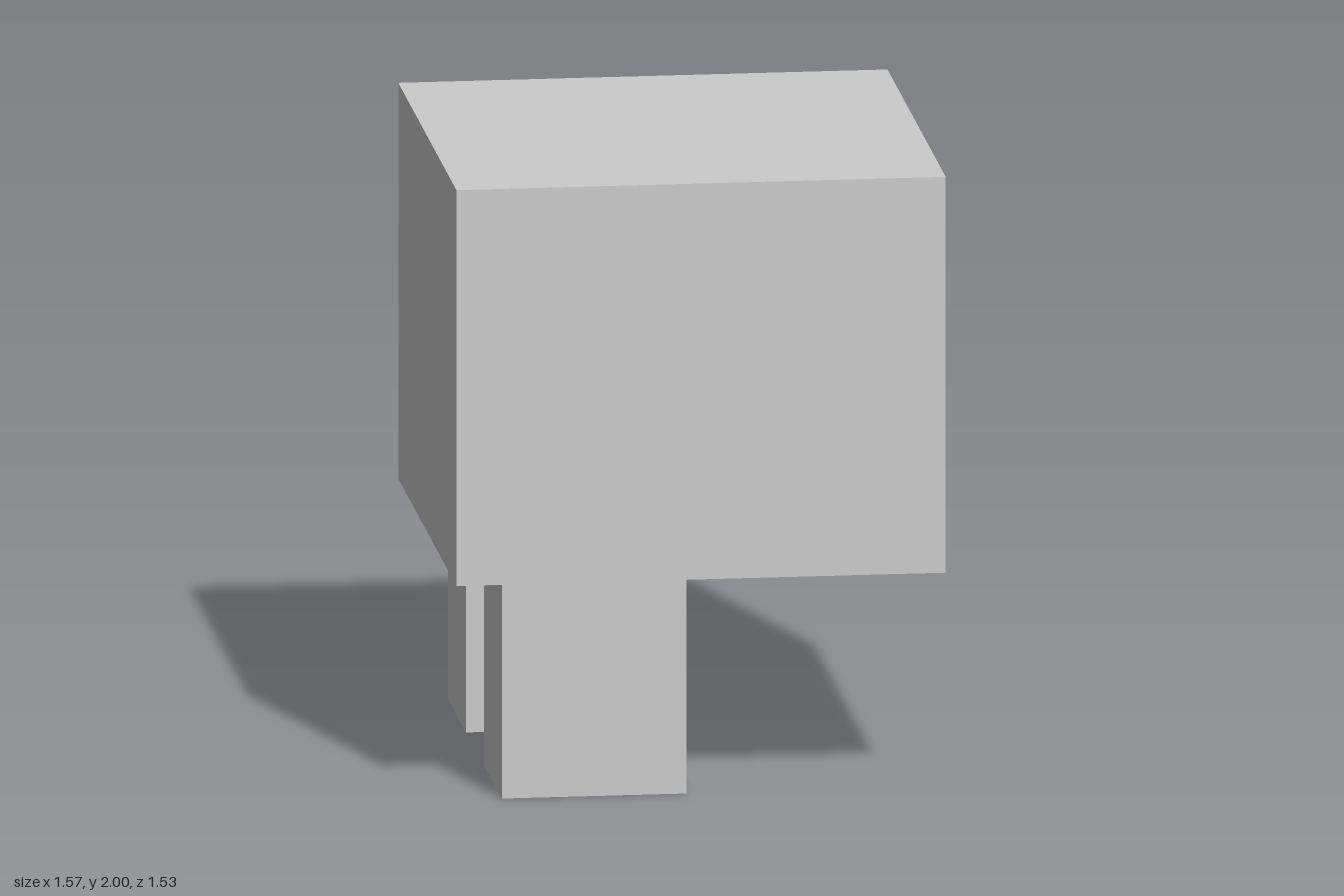
import * as THREE from 'three';

export function createModel() {
  const model = new THREE.Group();
  const material = new THREE.MeshStandardMaterial({ color: 0xcccccc, flatShading: true });

  // Box placed by its centre in x and z and by its underside in y
  function addBox(name, [w, h, d], [x, bottom, z]) {
    const mesh = new THREE.Mesh(new THREE.BoxGeometry(w, h, d), material);
    mesh.name = name;
    mesh.position.set(x, bottom + h / 2, z);
    model.add(mesh);
  }

  const legHeight = 0.71;

  // Large block on top
  addBox('body', [1.565, 2 - legHeight, 1.53], [0, legHeight, 0]);

  // Two legs, front and back, both on the right side
  for (const side of [1, -1]) {
    addBox(side > 0 ? 'frontLeg' : 'backLeg', [0.59, legHeight, 0.472], [-0.335, 0, side * 0.471]);
  }

  return model;
}
